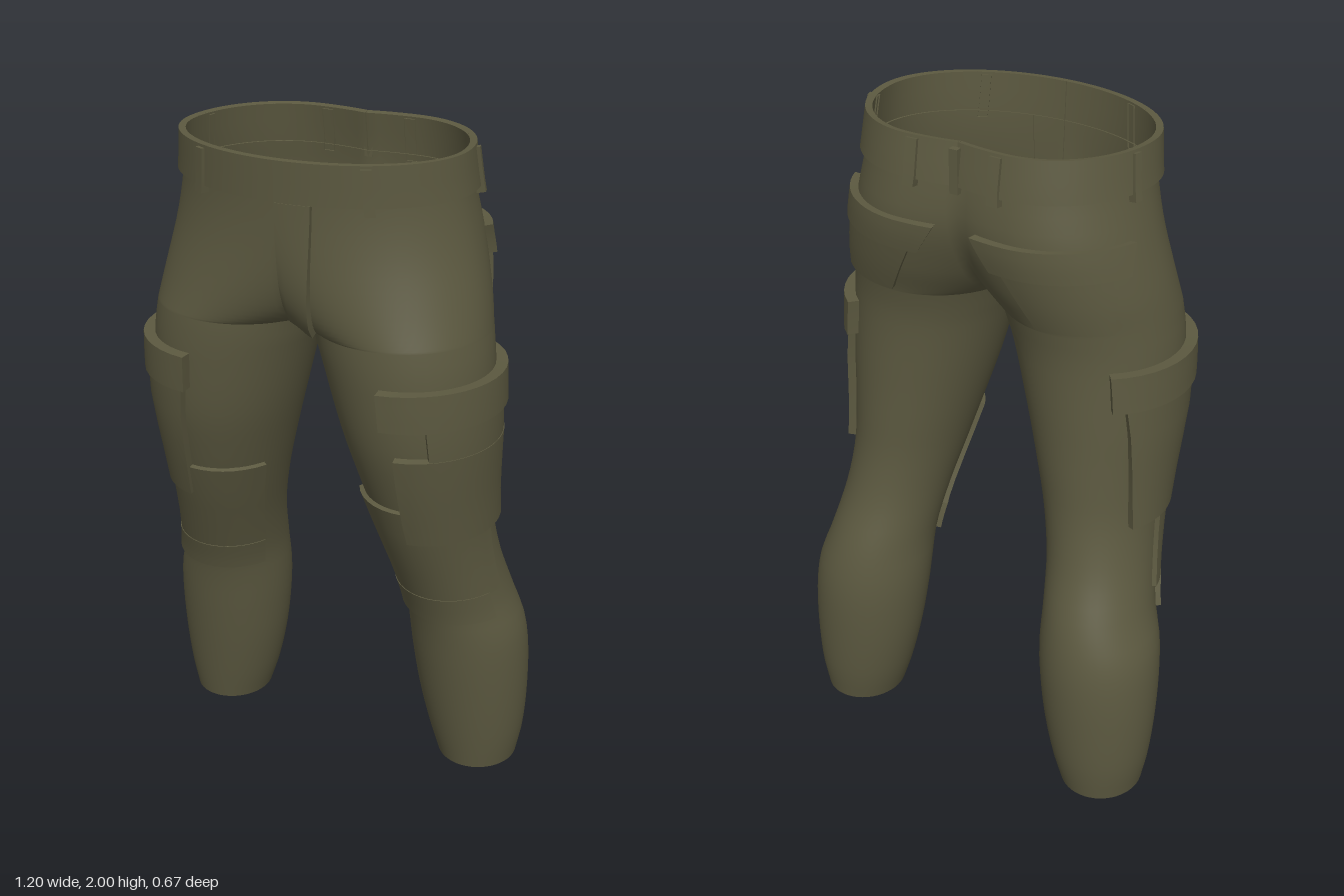
import * as THREE from 'three';
import { mergeGeometries, mergeVertices, toCreasedNormals } from 'three/addons/utils/BufferGeometryUtils.js';

const CROTCH = 1.5, WAIST = 2;
// One leg's outline by height: y, outer x, inner x, front z, back z
const LEG = [
  [0, 0.572, 0.325, -0.04, -0.305], [0.1, 0.59, 0.292, -0.02, -0.322], [0.25, 0.6, 0.258, 0.007, -0.333],
  [0.4, 0.598, 0.238, 0.032, -0.335], [0.5, 0.585, 0.232, 0.048, -0.325], [0.6, 0.552, 0.23, 0.07, -0.3],
  [0.75, 0.522, 0.208, 0.125, -0.245], [0.9, 0.508, 0.172, 0.185, -0.215], [1.05, 0.512, 0.13, 0.235, -0.207],
  [1.2, 0.522, 0.086, 0.275, -0.203], [1.4, 0.518, 0.03, 0.298, -0.203], [1.5, 0.505, 0, 0.3, -0.218],
  [1.6, 0.487, 0, 0.302, -0.25], [1.75, 0.452, 0, 0.305, -0.28], [1.88, 0.425, 0, 0.31, -0.268], [2, 0.41, 0, 0.316, -0.248],
];

// Smooth lookup in the outline table
function outline(y) {
  y = THREE.MathUtils.clamp(y, 0, WAIST);
  let i = 0;
  while (i < LEG.length - 2 && LEG[i + 1][0] < y) i++;
  const slope = (k, c) => {
    const a = LEG[Math.max(k - 1, 0)], b = LEG[Math.min(k + 1, LEG.length - 1)];
    return (b[c] - a[c]) / (b[0] - a[0]);
  };
  const p = LEG[i], q = LEG[i + 1], h = q[0] - p[0], t = (y - p[0]) / h, t2 = t * t, t3 = t2 * t;
  return [1, 2, 3, 4].map(c => p[c] * (2 * t3 - 3 * t2 + 1) + q[c] * (3 * t2 - 2 * t3)
    + h * (slope(i, c) * (t3 - 2 * t2 + t) + slope(i + 1, c) * (t3 - t2)));
}

// Cross-section at y; above the crotch the legs overlap the centre plane and are cut there
function section(y, front) {
  let [xo, xi, zf, zb] = outline(y);
  let cx = (xo + xi) / 2;
  if (y > CROTCH) {
    const t = Math.min((y - CROTCH) / 0.38, 1);
    cx = front ? 0.5 * xo * (1 - t) ** 1.5 : 0.5 * xo * (1 - t) + 0.15 * t;
    xi = front ? -xo * t ** 0.7 : -0.3 * t ** 0.8;
  }
  return { cx, outer: xo - cx, inner: cx - xi, zc: (zf + zb) / 2, hz: (zf - zb) / 2 };
}

// Angle where the section passes a given x (0 is the outer side, + is front)
function angleAtX(y, x, front) {
  const s = section(y, front), c = (x - s.cx) / (x > s.cx ? s.outer : s.inner);
  return Math.acos(THREE.MathUtils.clamp(c, -1, 1)) * (front ? 1 : -1);
}
const seamAngle = (y, front) => (y <= CROTCH ? (front ? Math.PI : -Math.PI) : angleAtX(y, 0, front));

function base(y, a) {
  const s = section(y, a >= 0), c = Math.cos(a);
  return new THREE.Vector3(s.cx + (c > 0 ? s.outer : s.inner) * c, y, s.zc + s.hz * Math.sin(a));
}

// Cloth surface pushed outwards by d
function surface(y, a, d = 0) {
  const p = base(y, a);
  if (d) {
    const e = 0.01;
    const dy = base(Math.min(y + e, WAIST), a).sub(base(Math.max(y - e, 0), a));
    const da = base(y, a + e).sub(base(y, a - e));
    p.addScaledVector(dy.cross(da).normalize(), d);
  }
  p.x = Math.max(p.x, 0);
  return p;
}

// Grid of points fn(i, j), mirrored for side = -1
function grid(nu, nv, side, fn) {
  const pos = [], idx = [];
  for (let j = 0; j <= nv; j++) for (let i = 0; i <= nu; i++) {
    const p = fn(i, j);
    pos.push(p.x * side, p.y, p.z);
  }
  for (let j = 0; j < nv; j++) for (let i = 0; i < nu; i++) {
    const a = j * (nu + 1) + i, b = a + 1, c = a + nu + 1, d = c + 1;
    if (side > 0) idx.push(a, c, b, b, c, d);
    else idx.push(a, b, c, b, d, c);
  }
  const g = new THREE.BufferGeometry();
  g.setAttribute('position', new THREE.Float32BufferAttribute(pos, 3));
  g.setIndex(idx);
  return g;
}

// Raised cloth panel following the surface, with its rim turned down to the cloth
function panel(side, y0, y1, angle, d, nu = 18, nv = 6) {
  const inner = (k, n) => THREE.MathUtils.clamp((k - 1) / (n - 2), 0, 1);
  const g = grid(nu, nv, side, (i, j) => {
    const u = inner(i, nu), v = inner(j, nv), y = y0 + (y1 - y0) * v;
    const rim = i === 0 || j === 0 || i === nu || j === nv;
    return surface(y, angle(u, v, y), rim ? -0.004 : d);
  });
  return toCreasedNormals(g, 0.7);
}

// Panel edges in degrees: lower pair, then upper pair
const span = (a0, b0, a1, b1) => (u, v) => {
  const a = a0 + (a1 - a0) * v, b = b0 + (b1 - b0) * v;
  return THREE.MathUtils.degToRad(a + (b - a) * u);
};

export function createModel() {
  const model = new THREE.Group();
  model.name = 'cargoTrousers';
  const olive = new THREE.MeshStandardMaterial({ color: 0x5c5940, side: THREE.DoubleSide });
  olive.name = 'olive cloth';
  const add = (name, geo) => {
    const m = new THREE.Mesh(geo, olive);
    m.name = name;
    model.add(m);
  };

  // Legs and hips: both halves joined into one smooth shell
  const heights = [];
  for (let k = 0; k < 36; k++) heights.push(CROTCH * k / 36);
  for (let k = 0; k <= 18; k++) heights.push(CROTCH + (WAIST - CROTCH) * (k / 18) ** 2);
  const halves = [1, -1].map(side => grid(48, heights.length - 1, side, (i, j) => {
    const u = i / 24 - 1, y = heights[j];
    const p = surface(y, Math.abs(u) * seamAngle(y, u >= 0));
    if (y > CROTCH && Math.abs(u) === 1) p.x = 0;
    return p;
  }));
  const shell = mergeVertices(mergeGeometries(halves), 1e-4);
  shell.computeVertexNormals();
  add('legsAndHips', shell);

  // Waistband, made of two halves meeting at the centre
  const bands = [1, -1].map(side => panel(side, 1.885, 2, (u, v, y) => {
    const w = 2 * u - 1;
    return Math.abs(w) * seamAngle(y, w >= 0);
  }, 0.016, 50));
  add('waistband', mergeGeometries(bands));

  for (const side of [1, -1]) {
    const s = side > 0 ? 'left' : 'right';

    // Thigh pocket; the left one has a stepped front corner
    if (side > 0) {
      add(s + 'ThighPocketLower', panel(side, 0.9, 1.19, span(-33, 87, -42, 82), 0.024));
      add(s + 'ThighPocketUpper', panel(side, 1.18, 1.3, span(-42, 58, -45, 58), 0.022));
    } else {
      add(s + 'ThighPocket', panel(side, 0.9, 1.3, span(-33, 83, -45, 83), 0.024));
    }
    add(s + 'ThighPocketFlap', panel(side, 1.285, 1.395, span(-54, 87, -54, 85), 0.034));

    // Knee patch with a stepped outer edge
    add(s + 'KneePatch', panel(side, 0.67, 1.0, span(10, 155, 0, 152), 0.014));
    add(s + 'KneePatchLower', panel(side, 0.58, 0.675, span(30, 150, 27, 153), 0.016));

    // Seat pocket and flap
    add(s + 'SeatPocket', panel(side, 1.52, 1.7, span(-46, -92, -32, -98), 0.016));
    add(s + 'SeatPocketFlap', panel(side, 1.68, 1.765, span(-27, -102, -20, -106), 0.024));

    // Belt loops at front, side and back
    const loops = [angleAtX(1.94, 0.24, true), -0.28, angleAtX(1.94, 0.13, false)];
    loops.forEach((a, k) => add(s + 'BeltLoop' + (k + 1),
      panel(side, 1.865, 1.992, u => a + (u - 0.5) * 0.075, 0.026, 4, 6)));
  }

  // Centre back belt loop
  const backLoop = new THREE.BoxGeometry(0.026, 0.125, 0.02);
  backLoop.translate(0, 1.928, surface(1.93, seamAngle(1.93, false)).z - 0.018);
  add('backBeltLoop', backLoop);

  // Fly panel, narrowing slightly at its lower end
  add('fly', panel(1, 1.51, 1.885, (u, v, y) =>
    angleAtX(y, (0.1 - 0.012 * (1 - v)) * u, true), 0.018, 10, 16));
  return model;
}
